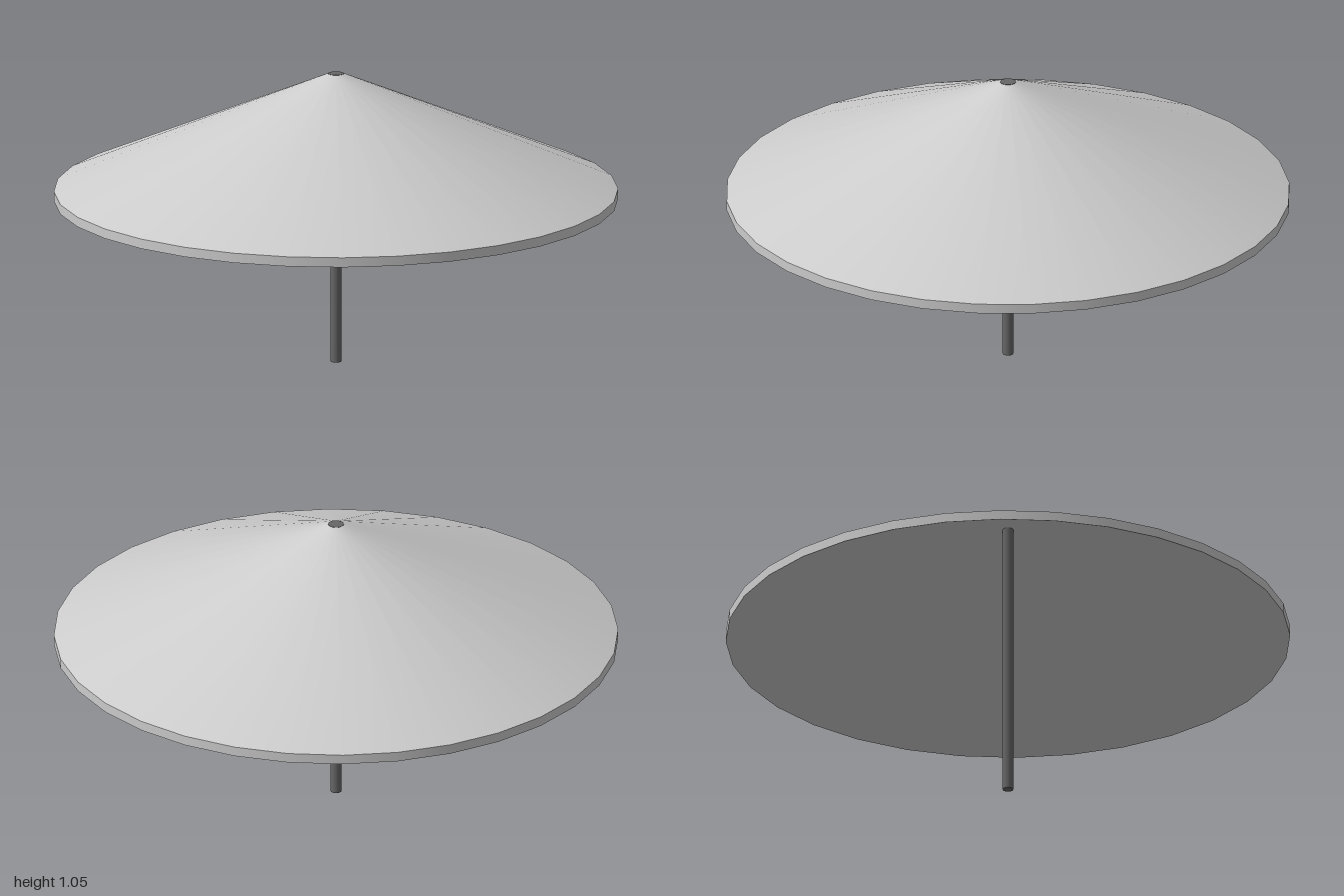
import * as THREE from 'three';

export function createModel() {
  const model = new THREE.Group();
  const light = new THREE.MeshStandardMaterial({ color: 0xcccccc });
  const dark = new THREE.MeshStandardMaterial({ color: 0x666666 });

  const add = (parent, name, geometry, material) => {
    const mesh = new THREE.Mesh(geometry, material);
    mesh.name = name;
    parent.add(mesh);
    return mesh;
  };
  const lathe = (...profile) =>
    new THREE.LatheGeometry(profile.map(([r, y]) => new THREE.Vector2(r, y)), 32);

  // Canopy: separate bands keep the rim edges sharp and each surface smooth
  const canopy = new THREE.Group();
  canopy.name = 'canopy';
  model.add(canopy);
  add(canopy, 'canopyTop', lathe([1, 0.625], [0.028, 1.05]), light);
  add(canopy, 'canopyRim', lathe([1, 0.59], [1, 0.625]), light);
  add(canopy, 'canopyUnderside', lathe([0.018, 1.015], [1, 0.59]), light);

  // Flat cap closing the peak
  const cap = add(model, 'peakCap', new THREE.CylinderGeometry(0.028, 0.028, 0.012, 32), dark);
  cap.position.y = 1.045;

  // Pole from the ground up into the peak
  const pole = add(model, 'pole', new THREE.CylinderGeometry(0.019, 0.019, 1.045, 16), dark);
  pole.position.y = 0.5225;

  return model;
}
